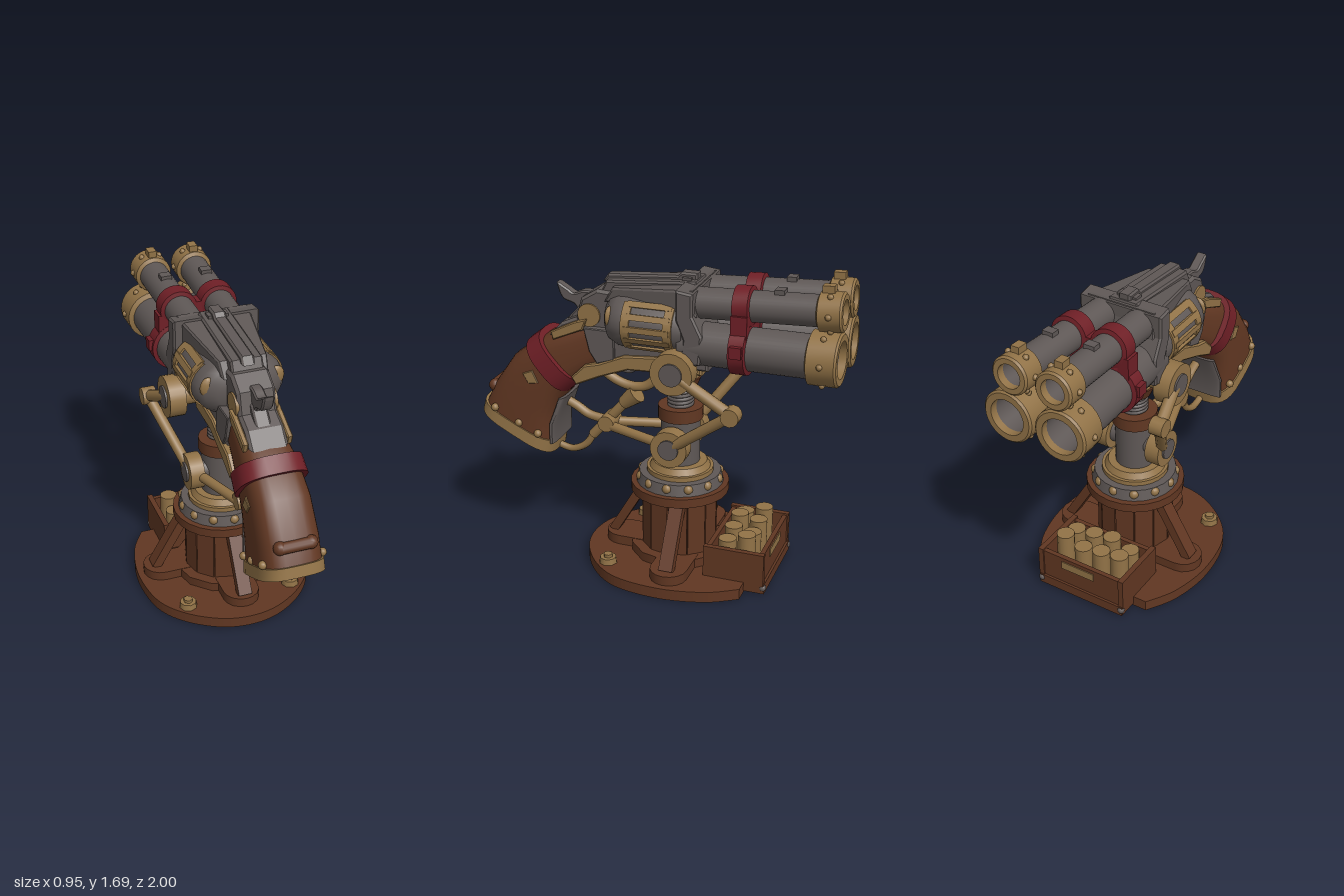
import * as THREE from 'three';
import { mergeVertices, toCreasedNormals } from 'three/addons/utils/BufferGeometryUtils.js';

const mat = (name, color) => {
  const m = new THREE.MeshStandardMaterial({ color });
  m.name = name;
  return m;
};

export function createModel() {
  const wood = mat('wood', 0x613722), brass = mat('brass', 0x927347), iron = mat('iron', 0x5f5856);
  const red = mat('red band', 0x6f1f26), dark = mat('dark wood', 0x4c2a1b);
  const root = new THREE.Group();
  const V = (x, y, z) => new THREE.Vector3(x, y, z);
  const AZ = -0.125; // z of the pedestal axis

  const add = (name, geo, material, x = 0, y = 0, z = 0, parent = root) => {
    const m = new THREE.Mesh(geo, material);
    m.name = name;
    m.position.set(x, y, z);
    parent.add(m);
    return m;
  };
  const box = (name, w, h, d, material, x, y, z, parent) =>
    add(name, new THREE.BoxGeometry(w, h, d), material, x, y, z, parent);
  const cyl = (name, r, h, material, x, y, z, axis = 'y', r2 = r, n = 24, parent = root) => {
    const g = new THREE.CylinderGeometry(r2, r, h, n);
    if (axis === 'x') g.rotateZ(-Math.PI / 2);
    return add(name, g, material, x, y, z, parent);
  };
  const rod = (name, a, b, r, material, n = 12, r2 = r) => {
    const d = b.clone().sub(a);
    const m = add(name, new THREE.CylinderGeometry(r2, r, d.length(), n), material);
    m.position.copy(a).lerp(b, 0.5);
    m.quaternion.setFromUnitVectors(V(0, 1, 0), d.normalize());
    return m;
  };
  const ball = (name, r, material, x, y, z) => add(name, new THREE.SphereGeometry(r, 12, 8), material, x, y, z);
  const tube = (name, pts, r, material, n = 32) =>
    add(name, new THREE.TubeGeometry(new THREE.CatmullRomCurve3(pts), n, r, 8), material);
  const lathe = pts => toCreasedNormals(
    new THREE.LatheGeometry(pts.map(p => new THREE.Vector2(...p)), 28), 0.6);
  // side profile in (z, y), extruded across x
  const slab = (name, pts, width, material, x = 0, bevel = 0.01, smooth = false) => {
    const s = new THREE.Shape();
    const v = pts.map(p => new THREE.Vector2(...p));
    if (smooth) { s.moveTo(v[0].x, v[0].y); s.splineThru([...v.slice(1), v[0]]); } else s.setFromPoints(v);
    const depth = width - 2 * bevel;
    const g = new THREE.ExtrudeGeometry(s, { depth, bevelSize: bevel, bevelThickness: bevel, bevelSegments: 1, curveSegments: 6 });
    g.translate(0, 0, -depth / 2).rotateY(-Math.PI / 2);
    return add(name, g, material, x);
  };
  // loft of rounded sections: [topZ, topY, bottomZ, bottomY, halfWidth]
  const loft = (name, secs, material, power = 0.6, n = 28) => {
    const pos = [], idx = [];
    const f = t => Math.sign(t) * Math.abs(t) ** power;
    secs.forEach(([az, ay, bz, by, w]) => {
      for (let k = 0; k < n; k++) {
        const t = k / n * Math.PI * 2, u = f(Math.cos(t)), v = f(Math.sin(t));
        pos.push(v * w, (ay + by) / 2 + u * (ay - by) / 2, (az + bz) / 2 + u * (az - bz) / 2);
      }
    });
    const last = (secs.length - 1) * n;
    for (let k = 0; k < n; k++) {
      const j = (k + 1) % n;
      for (let i = 0; i < last; i += n) idx.push(i + k, i + n + k, i + j, i + j, i + n + k, i + n + j);
      if (k > 0 && k < n - 1) idx.push(0, k, j, last, last + j, last + k);
    }
    const g = new THREE.BufferGeometry();
    g.setAttribute('position', new THREE.Float32BufferAttribute(pos, 3));
    g.setIndex(idx);
    return add(name, toCreasedNormals(mergeVertices(g), 0.7), material);
  };

  // ---- base plate with a flat rear edge
  const half = [[0.43, 0.41], [0.475, 0.18], [0.445, -0.07], [0.34, -0.23], [0.17, -0.345], [0, -0.38]];
  const plate = new THREE.Shape();
  plate.moveTo(-0.34, 0.57);
  plate.lineTo(0.34, 0.57);
  plate.splineThru([...half, ...half.slice(0, -1).reverse().map(([x, y]) => [-x, y]), [-0.34, 0.57]].map(p => new THREE.Vector2(...p)));
  add('basePlate', new THREE.ExtrudeGeometry(plate, { depth: 0.06, bevelEnabled: false, curveSegments: 8 }).rotateX(-Math.PI / 2), wood, 0, 0.005, 0);

  // ---- pedestal: drum, planks, braces and feet
  cyl('pedestalDrum', 0.195, 0.4, wood, 0, 0.25, AZ);
  cyl('pedestalFoot', 0.265, 0.06, wood, 0, 0.085, AZ, 'y', 0.265, 12);
  for (let i = 0; i < 12; i++) {
    const a = (i + 0.5) / 12 * Math.PI * 2;
    box('plank', 0.1, 0.33, 0.02, wood, Math.sin(a) * 0.19, 0.27, AZ + Math.cos(a) * 0.19).rotation.y = a;
  }
  for (const i of [-1, 0, 1]) {
    const g = new THREE.Group();
    g.name = 'brace';
    g.position.z = i ? -0.18 : AZ;
    g.rotation.y = i * Math.PI / 2;
    root.add(g);
    const reach = i ? 0.34 : 0.32;
    box('foot', 0.2, 0.055, reach - 0.15, wood, 0, 0.09, (reach + 0.15) / 2, g);
    cyl('footEnd', 0.1, 0.055, wood, 0, 0.09, reach, 'y', 0.1, 16, g);
    box('leg', 0.075, 0.37, 0.05, wood, 0, 0.275, 0.285, g).rotation.x = -0.53;
  }
  cyl('pedestalCollar', 0.265, 0.05, wood, 0, 0.455, AZ);
  cyl('boltedRing', 0.235, 0.06, iron, 0, 0.51, AZ, 'y', 0.22);
  cyl('brassRing', 0.18, 0.03, brass, 0, 0.55, AZ);
  cyl('brassStep', 0.165, 0.035, brass, 0, 0.58, AZ, 'y', 0.145);
  for (let i = 0; i < 12; i++) {
    const a = i / 12 * Math.PI * 2;
    ball('ringBolt', 0.027, brass, Math.sin(a) * 0.213, 0.513, AZ + Math.cos(a) * 0.213);
  }
  for (const s of [-1, 1]) {
    cyl('baseBolt', 0.05, 0.035, brass, s * 0.3, 0.08, 0.18, 'y', 0.045, 8);
    cyl('baseBoltHead', 0.025, 0.02, brass, s * 0.3, 0.105, 0.18, 'y', 0.025, 6);
  }

  // ---- ammunition crate
  box('crateFloor', 0.5, 0.08, 0.3, dark, 0, 0.06, -0.51);
  box('crateSill', 0.52, 0.055, 0.12, wood, 0, 0.04, -0.62);
  box('crateLabel', 0.2, 0.045, 0.006, brass, 0.02, 0.185, -0.67);
  for (const s of [-1, 1]) {
    box('crateSide', 0.03, 0.22, 0.33, wood, s * 0.25, 0.13, -0.51);
    box('crateWall', 0.49, 0.2, 0.025, wood, 0, 0.13, -0.51 + s * 0.145);
    ball('crateStud', 0.02, iron, s * 0.25, 0.045, -0.67);
  }
  for (let i = 0; i < 8; i++) {
    const x = -0.17 + (i % 4) * 0.113, z = i < 4 ? -0.45 : -0.555, h = 0.2 + (i * 5 % 3) * 0.02;
    cyl('shell', 0.048, h, brass, x, 0.06 + h / 2, z, 'y', 0.048, 14);
  }

  // ---- post and spring
  cyl('post', 0.105, 0.28, iron, 0, 0.72, AZ);
  cyl('postCollar', 0.12, 0.07, wood, 0, 0.88, AZ);
  cyl('springCore', 0.05, 0.22, iron, 0, 1.0, AZ);
  const coil = Array.from({ length: 49 }, (_, i) => V(Math.sin(i * Math.PI / 4) * 0.062, 0.915 + i * 0.0025, AZ + Math.cos(i * Math.PI / 4) * 0.062));
  tube('spring', coil, 0.011, iron, 150);
  cyl('upperCollar', 0.085, 0.06, wood, 0, 1.05, AZ, 'y', 0.11);
  cyl('upperSeat', 0.1, 0.14, brass, 0, 1.14, AZ);
  cyl('pivotAxle', 0.06, 0.48, brass, 0, 1.19, -0.17, 'x');
  cyl('lowerAxle', 0.06, 0.32, iron, 0, 0.73, AZ, 'x');

  // ---- pivots and elevation linkage
  const elbows = { '1': V(0.26, 1.0, -0.48), '-1': V(-0.315, 1.08, -0.4) };
  for (const s of [-1, 1]) {
    cyl('upperPivot', 0.112, 0.09, brass, s * 0.25, 1.19, -0.17, 'x');
    cyl('upperPivotHub', 0.06, 0.11, iron, s * 0.25, 1.19, -0.17, 'x');
    cyl('lowerPivot', 0.1, 0.08, brass, s * 0.16, 0.73, AZ, 'x');
    cyl('lowerPivotHub', 0.055, 0.1, iron, s * 0.16, 0.73, AZ, 'x');
    const e = elbows[s];
    rod('upperLink', V(s * 0.27, 1.19, -0.17), e, 0.032, brass);
    rod('lowerLink', e, V(s * 0.18, 0.75, -0.15), 0.03, brass);
    cyl('elbow', 0.048, 0.075, brass, e.x, e.y, e.z, 'x', 0.048, 12);
    rod('yokeBar', V(s * 0.16, 0.73, AZ), V(s * 0.03, 0.745, 0.28), 0.027, brass);
  }

  // ---- aiming lever under the grip
  cyl('leverHub', 0.045, 0.13, brass, 0, 0.76, 0.28, 'x');
  rod('leverArm', V(0, 0.66, 0.38), V(0, 0.89, 0.18), 0.027, brass);
  rod('leverHandle', V(0, 0.87, 0.2), V(0, 0.94, 0.12), 0.035, brass, 12, 0.055);
  tube('leverCurve', [V(0, 0.68, 0.37), V(0, 0.6, 0.42), V(0, 0.56, 0.5), V(0, 0.58, 0.6)], 0.02, brass);
  tube('gripStay', [V(0, 0.76, 0.28), V(0, 0.78, 0.4), V(0, 0.82, 0.47), V(0, 0.86, 0.56)], 0.026, brass);

  // ---- grip
  loft('grip', [[0.33, 1.34, 0.25, 1.13, 0.115], [0.5, 1.28, 0.36, 1.06, 0.13], [0.64, 1.22, 0.45, 0.99, 0.145],
    [0.8, 1.1, 0.53, 0.87, 0.155], [0.92, 0.93, 0.57, 0.74, 0.16], [0.985, 0.8, 0.57, 0.61, 0.16]], wood);
  loft('gripBand', [[0.645, 1.255, 0.415, 1.0, 0.175], [0.72, 1.195, 0.49, 0.925, 0.18]], red, 0.75);
  loft('buttTrim', [[0.985, 0.835, 0.562, 0.63, 0.168], [1.0, 0.775, 0.575, 0.56, 0.172]], brass);
  loft('buttPlate', [[0.945, 0.755, 0.61, 0.58, 0.14], [0.94, 0.74, 0.612, 0.57, 0.14]], iron);
  loft('gripInnerStrap', [[0.54, 0.89, 0.492, 0.9, 0.115], [0.59, 0.74, 0.553, 0.745, 0.135], [0.59, 0.63, 0.555, 0.63, 0.135]], iron);
  rod('gripClasp', V(-0.08, 0.91, 0.925), V(0.08, 0.91, 0.925), 0.03, wood);
  for (const s of [-1, 1]) {
    ball('claspEnd', 0.035, wood, s * 0.08, 0.91, 0.92);
    for (const [z, y] of [[0.89, 0.81], [0.75, 0.74], [0.64, 0.69]]) ball('gripRivet', 0.022, brass, s * 0.155, y, z);
    slab('gripBadge', [[0.71, 1.03], [0.66, 1.05], [0.63, 0.99], [0.68, 0.98]], 0.02, brass, s * 0.15, 0.004);
    slab('framePanel', [[0.36, 1.32], [0.2, 1.32], [0.2, 1.17], [0.29, 1.14], [0.33, 1.2]], 0.05, iron, s * 0.115, 0.005);
    slab('frameTrim', [[0.43, 1.04], [0.36, 1.11], [0.28, 1.13], [0.14, 1.19], [-0.1, 1.21], [-0.1, 1.14], [0.12, 1.13], [0.28, 1.07], [0.41, 1.01]], 0.05, brass, s * 0.12, 0.008);
    slab('tailTrim', [[0.55, 1.275], [0.42, 1.34], [0.36, 1.36], [0.38, 1.31], [0.54, 1.24]], 0.03, brass, s * 0.115, 0.006);
    cyl('hammerScroll', 0.062, 0.05, brass, s * 0.085, 1.385, 0.345, 'x');
  }

  // ---- frame and hammer
  slab('tailFrame', [[0.56, 1.25], [0.5, 1.31], [0.41, 1.35], [0.38, 1.46], [0.3, 1.51], [0.15, 1.5], [0.15, 1.2], [0.3, 1.2]], 0.2, iron, 0, 0.015);
  slab('hammer', [[0.55, 1.51], [0.52, 1.44], [0.45, 1.41], [0.4, 1.32], [0.3, 1.34], [0.34, 1.46], [0.4, 1.48], [0.46, 1.46], [0.5, 1.48]], 0.06, iron, 0, 0.008, true);
  slab('hammerNeck', [[0.56, 1.25], [0.42, 1.4], [0.36, 1.42], [0.36, 1.25]], 0.08, iron);
  slab('lowerFrame', [[0.3, 1.29], [-0.3, 1.27], [-0.3, 1.17], [-0.05, 1.17], [0.15, 1.17], [0.3, 1.14]], 0.25, iron);
  slab('underBlock', [[0.32, 1.1], [0.2, 1.18], [-0.25, 1.2], [-0.25, 1.12], [-0.02, 1.12], [0.1, 1.13]], 0.14, brass);
  tube('triggerGuard', [V(0, 1.1, 0.36), V(0, 1.02, 0.27), V(0, 0.98, 0.16), V(0, 0.99, 0.07), V(0, 1.06, 0), V(0, 1.15, -0.04)], 0.027, brass);
  tube('trigger', [V(0, 1.15, 0.13), V(0, 1.09, 0.13), V(0, 1.065, 0.16), V(0, 1.07, 0.21)], 0.016, iron);

  // ---- wide chamber drum with a domed rear and brass flutes
  const drum = new THREE.Group();
  drum.name = 'chamberDrum';
  drum.position.set(0, 1.385, 0);
  drum.scale.set(1.45, 1, 1);
  root.add(drum);
  const shell = lathe([[0, -0.2], [0.16, -0.2], [0.165, -0.18], [0.167, 0.12], [0.161, 0.17], [0.14, 0.215], [0.1, 0.245], [0.05, 0.258], [0, 0.26]]).rotateX(Math.PI / 2);
  add('drumBody', shell, iron, 0, 0, 0, drum);
  for (const s of [-1, 1]) {
    // side panels: two arcs joined by ribs
    for (const z of [0.095, -0.13]) {
      const arc = new THREE.CylinderGeometry(0.173, 0.173, 0.045, 16, 1, false, s * Math.PI / 2 - 0.8, 1.6).rotateX(Math.PI / 2);
      add('drumArc', arc, brass, 0, 0, z, drum);
    }
    for (let i = -2; i <= 2; i++) {
      const a = s * Math.PI / 2 + i * 0.37;
      box('drumRib', 0.03, 0.02, 0.24, brass, Math.sin(a) * 0.165, -Math.cos(a) * 0.165, -0.02, drum).rotation.z = a + Math.PI;
    }
    const cheek = new THREE.SphereGeometry(0.03, 10, 8).scale(1, 1.8, 0.7);
    add('drumCheek', cheek, brass, s * 0.125, 0.035, 0.2, drum);
  }

  // ---- top rail, sight and barrel bracket
  const taper = slab('topWing', [[0.24, 1.48], [0.2, 1.545], [-0.24, 1.595], [-0.26, 1.48]], 0.4, iron);
  const tp = taper.geometry.attributes.position;
  for (let i = 0; i < tp.count; i++) tp.setX(i, tp.getX(i) * (0.8 - tp.getZ(i) * 0.8));
  taper.geometry.computeVertexNormals();
  slab('topPlate', [[0.28, 1.5], [0.25, 1.565], [-0.22, 1.605], [-0.25, 1.5]], 0.17, iron);
  slab('topRail', [[0.28, 1.56], [0.26, 1.585], [-0.12, 1.615], [-0.14, 1.635], [-0.21, 1.635], [-0.21, 1.58]], 0.07, iron);
  box('railClamp', 0.11, 0.03, 0.05, iron, 0, 1.61, -0.17);
  slab('barrelBracket', [[-0.18, 1.6], [-0.25, 1.59], [-0.25, 1.48], [-0.3, 1.38], [-0.29, 1.24], [-0.2, 1.22], [-0.22, 1.36], [-0.18, 1.46]], 0.47, iron);

  // ---- four barrels with brass muzzles, splayed slightly toward the front
  const barrel = (x0, x1, y0, y1, r, R, m) => {
    const g = new THREE.Group();
    const L = 0.82, b = r - 0.015;
    g.name = 'barrel';
    g.position.set(x0, y0, -0.18);
    g.rotation.set(Math.atan2(y1 - y0, L), -Math.atan2(x1 - x0, L), 0);
    root.add(g);
    const put = (name, pts, material) => add(name, lathe(pts).rotateX(-Math.PI / 2), material, 0, 0, 0, g);
    put('barrelTube', [[0, 0], [r, 0], [r, L - 0.01], [b, L - 0.01], [b, L - 0.35], [0, L - 0.35]], iron);
    put('muzzleRing', [[r, L - m], [R, L - m + 0.01], [R, L - 0.01], [R - 0.01, L], [b - 0.002, L], [b - 0.002, L - 0.04]], brass);
    put('redBand', [[r, 0.27], [r + 0.022, 0.275], [r + 0.022, 0.355], [r, 0.36]], red);
    for (let i = 0; i < 6; i++) {
      const a = (i + 0.5) / 6 * Math.PI * 2;
      add('muzzleRivet', new THREE.SphereGeometry(0.016, 8, 6), brass, Math.sin(a) * R, Math.cos(a) * R, -L + m * 0.5, g);
    }
    return g;
  };
  for (const s of [-1, 1]) {
    barrel(s * 0.122, s * 0.147, 1.315, 1.325, 0.112, 0.138, 0.16);
    const top = barrel(s * 0.107, s * 0.12, 1.52, 1.56, 0.08, 0.1, 0.13);
    box('muzzleSight', 0.045, 0.05, 0.06, brass, 0, 0.108, -0.74, top);
    box('barrelLug', 0.06, 0.025, 0.05, iron, 0, 0.085, -0.5, top);
    box('bandLink', 0.06, 0.18, 0.085, red, s * 0.195, 1.42, -0.495);
    box('bandBolt', 0.04, 0.06, 0.06, red, s * 0.26, 1.34, -0.495);
  }
  box('bandBridge', 0.12, 0.3, 0.08, red, 0, 1.41, -0.495);
  return root;
}
